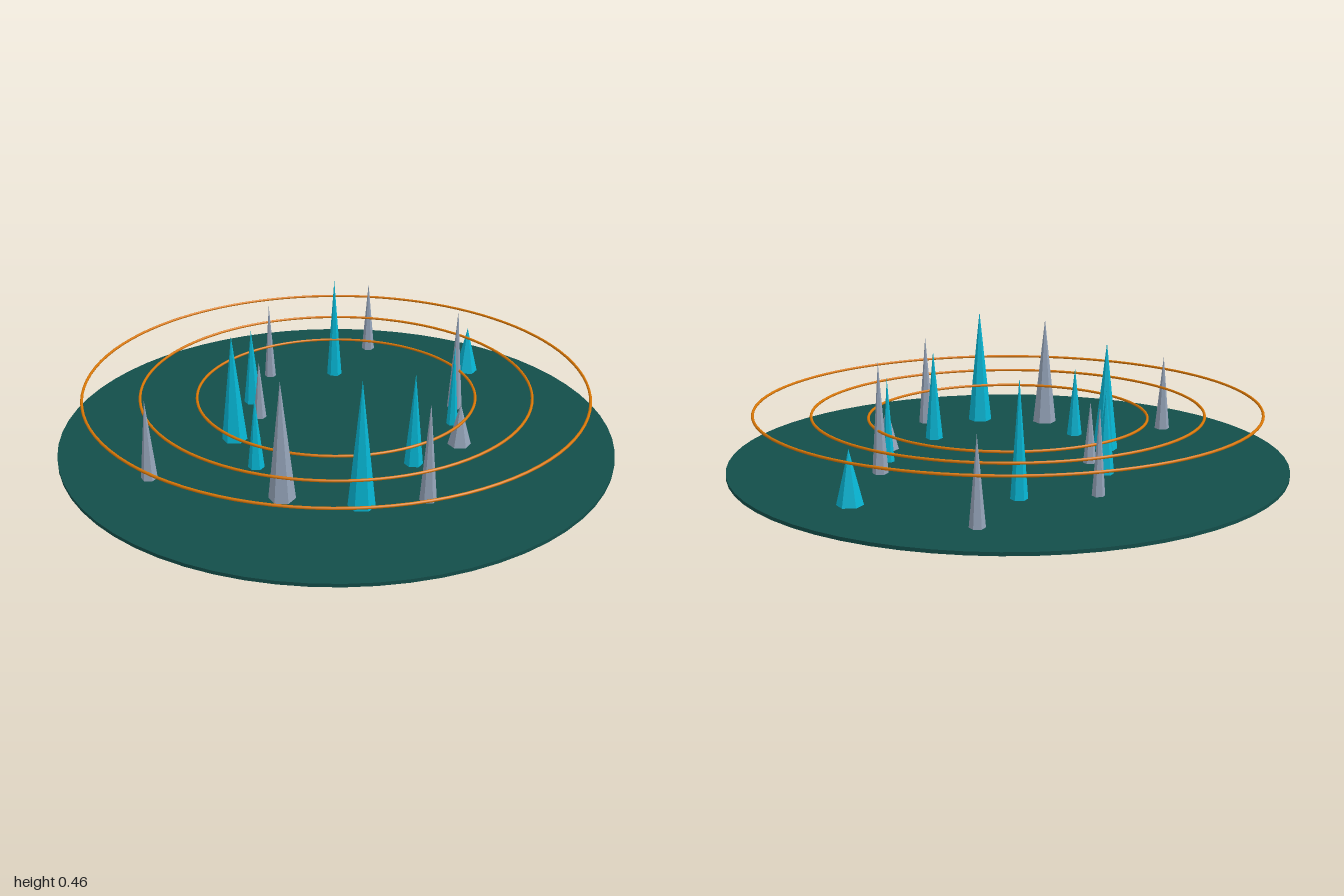
import * as THREE from 'three';

const material = (name, color) => {
  const m = new THREE.MeshStandardMaterial({ color });
  m.name = name;
  return m;
};

export function createModel() {
  const model = new THREE.Group();
  model.name = 'crystalField';

  const ground = material('darkTeal', 0x134e4a);
  const cyan = material('cyan', 0x06b6d4);
  const slate = material('slate', 0x94a3b8);
  const amber = material('amber', 0xd97706);
  cyan.flatShading = slate.flatShading = true;

  const add = (name, geometry, mat, x, y, z) => {
    const mesh = new THREE.Mesh(geometry, mat);
    mesh.name = name;
    mesh.position.set(x, y, z);
    model.add(mesh);
    return mesh;
  };

  // Thin round base
  const thick = 0.012;
  add('baseDisc', new THREE.CylinderGeometry(1, 1, thick, 64), ground, 0, thick / 2, 0);

  // Floating rings, rising outwards: radius, height
  for (const [radius, y] of [[0.5, 0.165], [0.7, 0.185], [0.9, 0.205]]) {
    const ring = add('floatingRing', new THREE.TorusGeometry(radius, 0.005, 8, 96), amber, 0, y, 0);
    ring.rotation.x = Math.PI / 2;
  }

  // Six-sided crystal spikes: x, z, radius, tip height
  const spikes = (name, mat, list) => {
    for (const [x, z, r, top] of list) {
      add(name, new THREE.ConeGeometry(r, top, 6), mat, x, top / 2, z);
    }
  };
  spikes('cyanCrystal', cyan, [
    [0.245, -0.45, 0.03, 0.41],
    [-0.16, -0.37, 0.034, 0.305],
    [0.73, -0.215, 0.047, 0.195],
    [-0.355, -0.115, 0.047, 0.41],
    [-0.38, 0.115, 0.03, 0.275],
    [0.4, 0.165, 0.022, 0.315],
    [0.105, 0.36, 0.034, 0.35],
    [-0.198, 0.52, 0.047, 0.455],
  ]);
  spikes('slateCrystal', slate, [
    [0.01, -0.56, 0.023, 0.31],
    [0.502, -0.615, 0.027, 0.3],
    [-0.195, -0.235, 0.025, 0.235],
    [-0.73, 0.008, 0.03, 0.3],
    [0.49, 0.05, 0.029, 0.4],
    [0.328, 0.315, 0.045, 0.17],
    [-0.4, 0.35, 0.047, 0.43],
    [0.01, 0.595, 0.03, 0.36],
  ]);

  return model;
}
